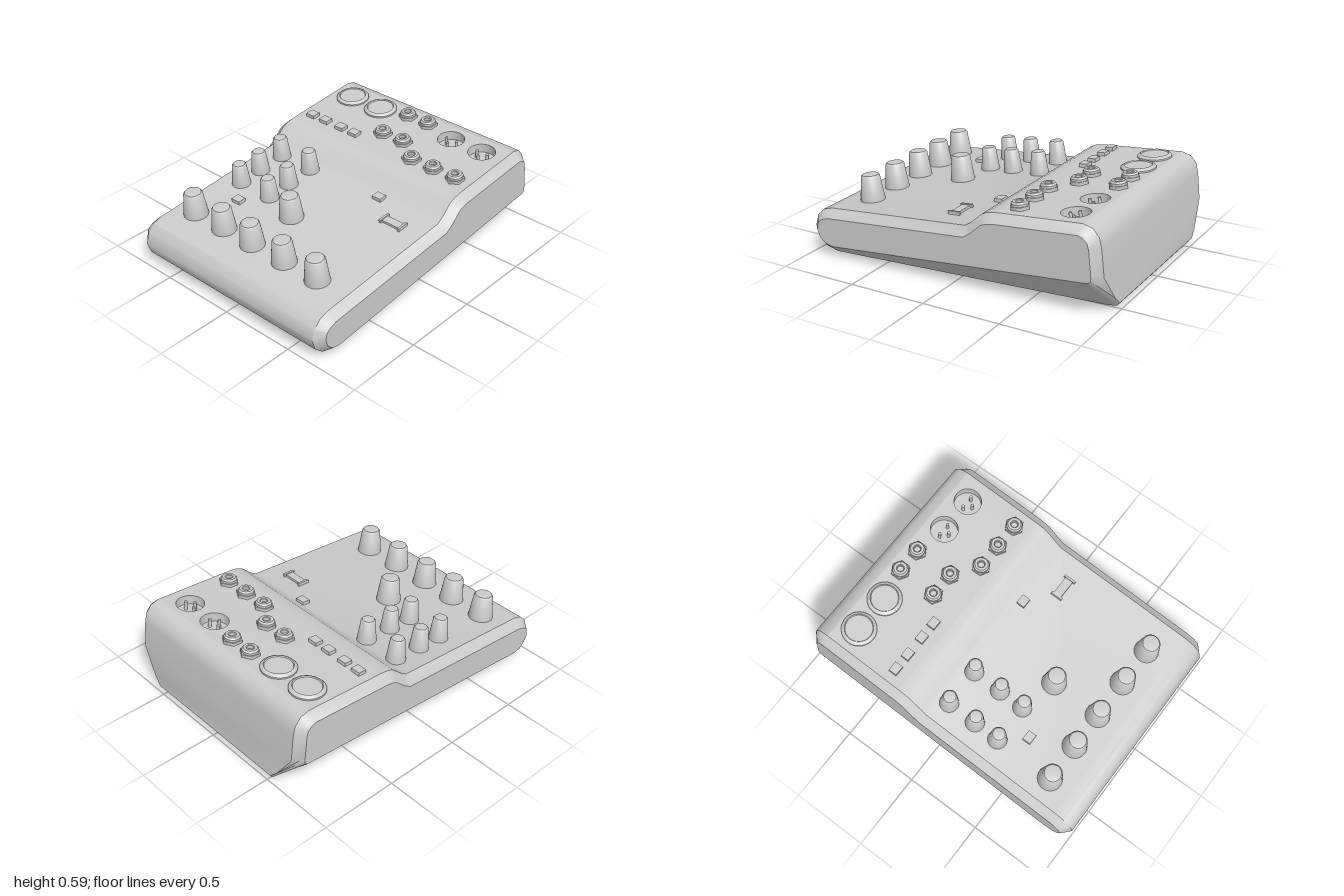
import * as THREE from 'three';
import { toCreasedNormals } from 'three/addons/utils/BufferGeometryUtils.js';

const mat = new THREE.MeshStandardMaterial({ color: 0xcccccc, side: THREE.DoubleSide });

// Side profile rows: z, y, half width of the main shell, then z, y of the inset side face
const PROFILE = [
  [0.84, 0.02, 0.69, 0.84, 0.07], [0.92, 0.04, 0.69, 0.89, 0.08],
  [0.975, 0.09, 0.69, 0.93, 0.115], [1, 0.165, 0.69, 0.95, 0.165],
  [0.98, 0.235, 0.69, 0.94, 0.21], [0.935, 0.28, 0.69, 0.91, 0.235],
  [0.87, 0.3, 0.69, 0.865, 0.25], [-0.09, 0.385, 0.69, -0.11, 0.335],
  [-0.13, 0.41, 0.69, -0.155, 0.365], [-0.2, 0.475, 0.69, -0.225, 0.43],
  [-0.24, 0.495, 0.69, -0.255, 0.445], [-0.3, 0.505, 0.69, -0.305, 0.455],
  [-0.84, 0.55, 0.69, -0.835, 0.5], [-0.9, 0.535, 0.69, -0.865, 0.492],
  [-0.94, 0.49, 0.69, -0.895, 0.465], [-0.955, 0.43, 0.69, -0.905, 0.425],
  [-0.975, 0.26, 0.69, -0.92, 0.29], [-0.995, 0.1, 0.58, -0.922, 0.265],
  [-1, 0.05, 0.53, -0.921, 0.25], [-0.985, 0.03, 0.53, -0.915, 0.24],
  [-0.93, 0.02, 0.53, -0.9, 0.232],
];
const HALF = 0.745;
const PANEL = 11; // profile row where the upper connector panel starts
const SOCKETS = [0.295, 0.535], SOCKET_Z = -0.72, SOCKET_R = 0.087, DEPTH = 0.06;

// Height and tilt of the top surface on the lower and upper panels
const LOWER_TILT = Math.atan2(0.085, 0.96), UPPER_TILT = Math.atan2(0.045, 0.54);
const surfaceY = z => z > -0.15 ? 0.385 - (z + 0.09) * Math.tan(LOWER_TILT)
  : 0.505 - (z + 0.3) * Math.tan(UPPER_TILT);

function bodyGeometry() {
  const pos = [], idx = [], n = PROFILE.length;
  for (const [z, y, w, oz, oy] of PROFILE) pos.push(-HALF, oy, oz, -w, y, z, w, y, z, HALF, oy, oz);
  for (let i = 0; i < n; i++) {
    const j = (i + 1) % n;
    for (let c = 0; c < 3; c++) {
      if (i === PANEL && c === 1) continue; // filled by the pierced panel
      const a = i * 4 + c, b = j * 4 + c;
      idx.push(a, a + 1, b + 1, a, b + 1, b);
    }
  }
  const side = PROFILE.map(r => new THREE.Vector2(r[3], r[4]));
  for (const [a, b, c] of THREE.ShapeUtils.triangulateShape(side, [])) {
    idx.push(a * 4, b * 4, c * 4, c * 4 + 3, b * 4 + 3, a * 4 + 3);
  }
  const g = new THREE.BufferGeometry();
  g.setAttribute('position', new THREE.Float32BufferAttribute(pos, 3));
  g.setIndex(idx);
  return toCreasedNormals(g, 0.7);
}

// Flat connector panel with two round openings
function panelGeometry() {
  const cos = Math.cos(UPPER_TILT), len = 0.54 / cos;
  const s = new THREE.Shape([[-0.69, 0], [0.69, 0], [0.69, len], [-0.69, len]].map(p => new THREE.Vector2(...p)));
  for (const x of SOCKETS) {
    s.holes.push(new THREE.Path().absarc(x, (-0.3 - SOCKET_Z) / cos, SOCKET_R, 0, Math.PI * 2, true));
  }
  return new THREE.ShapeGeometry(s, 24).rotateX(-Math.PI / 2 + UPPER_TILT).translate(0, 0.505, -0.3);
}

const lathe = (pts, seg = 32) => toCreasedNormals(
  new THREE.LatheGeometry(pts.map(p => new THREE.Vector2(...p)), seg), 0.6);
const knobGeometry = (r0, r1, h) => lathe([
  [r0, -0.005], [r0, 0.004], [r1 + 0.004, h - 0.012], [r1 - 0.004, h - 0.002], [r1 - 0.014, h], [0, h]]);
const box = (w, h, d, x = 0, y = h / 2, z = 0) => new THREE.BoxGeometry(w, h, d).translate(x, y, z);

export function createModel() {
  const model = new THREE.Group();
  model.name = 'audioMixer';

  const add = (parent, name, geo) => {
    const m = new THREE.Mesh(geo, mat);
    m.name = name;
    parent.add(m);
    return m;
  };
  // Group resting on the sloping top at x, z
  const mount = (name, x, z, ...geos) => {
    const g = new THREE.Group();
    g.name = name;
    g.position.set(x, surfaceY(z), z);
    g.rotation.x = z > -0.15 ? LOWER_TILT : UPPER_TILT;
    geos.forEach(geo => add(g, name + 'Part', geo));
    model.add(g);
  };

  add(model, 'casing', bodyGeometry());
  add(model, 'connectorPanel', panelGeometry());

  // Rotary knobs
  const large = knobGeometry(0.077, 0.055, 0.165), small = knobGeometry(0.06, 0.041, 0.152);
  for (const x of [-0.54, -0.29, -0.05, 0.21, 0.47]) mount('levelKnob', x, 0.72, large);
  mount('effectKnob', -0.05, 0.39, large);
  for (const x of [-0.545, -0.295])
    for (const z of [-0.035, 0.16, 0.33]) mount('toneKnob', x, z, small);

  // Push buttons
  const button = box(0.065, 0.03, 0.055, 0, 0.008);
  for (const x of [-0.6, -0.485, -0.35, -0.235]) mount('inputButton', x, -0.39, button);
  mount('panelButton', 0.25, -0.07, button);
  mount('panelButton', -0.42, 0.475, button);

  // Level display with raised end bars
  mount('levelDisplay', 0.48, 0.07, box(0.13, 0.02, 0.055, 0, 0.005),
    box(0.015, 0.025, 0.08, -0.07, 0.008), box(0.015, 0.025, 0.08, 0.07, 0.008));

  // Jack sockets: hexagonal nut and hollow collar
  const nut = new THREE.CylinderGeometry(0.062, 0.062, 0.024, 6).translate(0, 0.008, 0);
  const collar = lathe([[0.05, 0.01], [0.05, 0.034], [0.041, 0.045], [0.025, 0.045], [0.021, 0.041], [0.021, 0.021], [0, 0.021]]);
  const jacks = [[0.24, -0.39], [0.41, -0.39], [0.58, -0.39]];
  for (const x of [-0.09, 0.075]) jacks.push([x, -0.76], [x, -0.505]);
  for (const [x, z] of jacks) mount('jackSocket', x, z, nut, collar);

  // Raised microphone input rings
  const ring = lathe([[0.108, -0.01], [0.108, 0.01], [0.098, 0.02], [0.088, 0.024], [0.084, 0.017], [0, 0.017]], 40);
  for (const x of [-0.54, -0.295]) mount('microphoneInput', x, -0.72, ring);

  // Recessed three-pin outputs
  const well = lathe([[SOCKET_R, 0], [SOCKET_R, -DEPTH], [0, -DEPTH]], 48);
  const pins = [[-0.04, -0.005], [0.04, -0.005], [0, 0.036]].map(([x, z]) =>
    new THREE.CylinderGeometry(0.01, 0.01, 0.055, 12).translate(x, 0.0275 - DEPTH, z));
  for (const x of SOCKETS) mount('pinOutput', x, SOCKET_Z, well, ...pins);

  // Feet, set closer together at the back
  for (const s of [-1, 1]) {
    add(model, 'frontFoot', box(0.1, 0.03, 0.1)).position.set(s * 0.49, 0, 0.71);
    add(model, 'backFoot', box(0.1, 0.03, 0.1)).position.set(s * 0.395, 0, -0.77);
  }
  return model;
}
